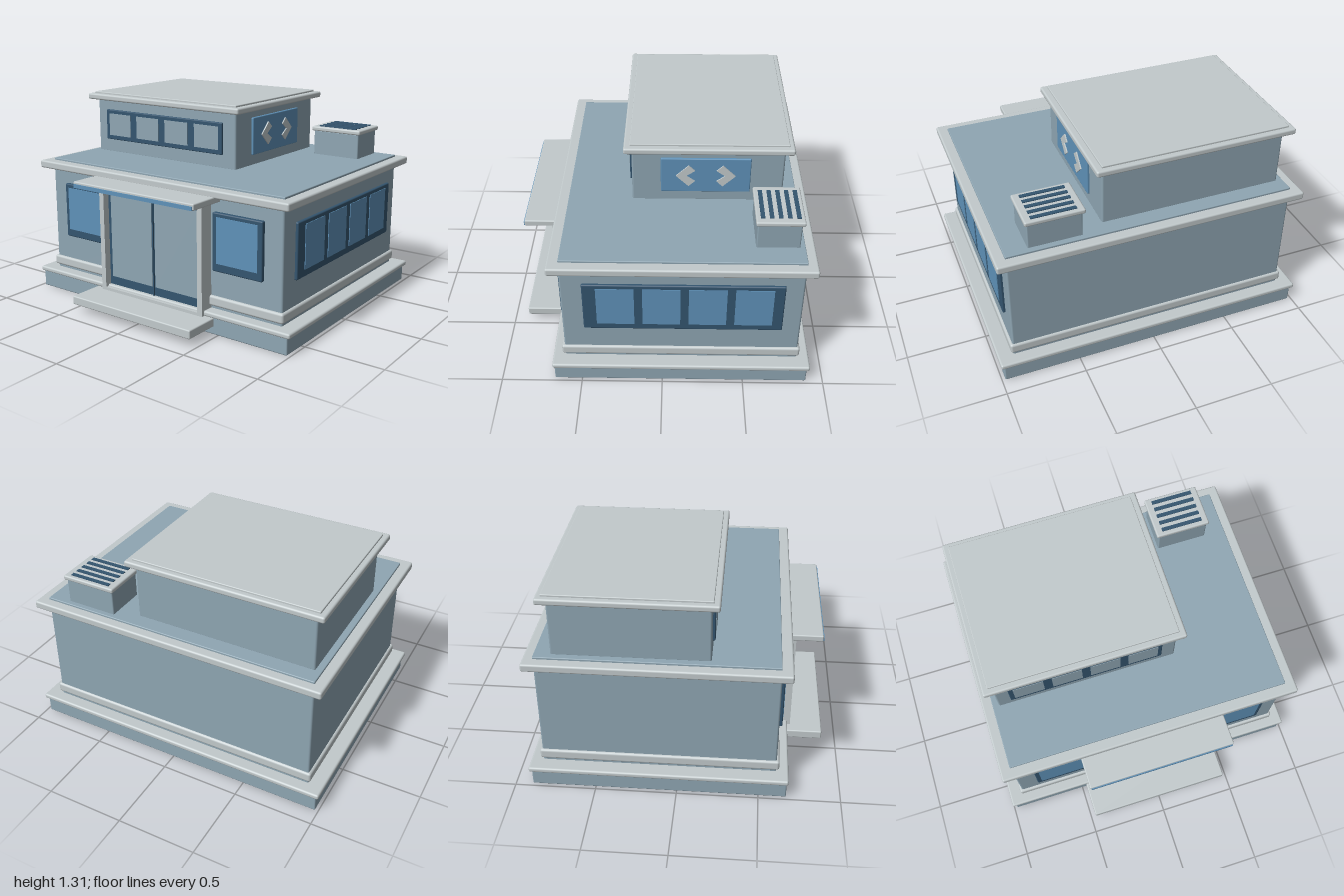
import * as THREE from 'three';
import { RoundedBoxGeometry } from 'three/addons/geometries/RoundedBoxGeometry.js';

const material = (name, color) => {
  const m = new THREE.MeshStandardMaterial({ color });
  m.name = name;
  return m;
};

export function createModel() {
  const model = new THREE.Group();
  model.name = 'smallBuilding';
  const wall = material('blueGreyWall', 0x8fa6b3);
  const trim = material('paleTrim', 0xc2cacc);
  const dark = material('darkFrame', 0x34556f);
  const blue = material('blueGlass', 0x5f92b9);

  // Box from its limits, with softened edges when a bevel is given
  function block(name, mat, [x0, x1], [y0, y1], [z0, z1], bevel = 0) {
    const w = x1 - x0, h = y1 - y0, d = z1 - z0;
    const geo = bevel ? new RoundedBoxGeometry(w, h, d, 2, bevel) : new THREE.BoxGeometry(w, h, d);
    const mesh = new THREE.Mesh(geo, mat);
    mesh.name = name;
    mesh.position.set((x0 + x1) / 2, (y0 + y1) / 2, (z0 + z1) / 2);
    model.add(mesh);
    return mesh;
  }
  const around = (c, size) => [c - size / 2, c + size / 2];

  // Plinth and ground floor
  block('plinth', wall, [-0.98, 0.98], [0, 0.11], [-0.895, 0.67], 0.008);
  block('plinthTrim', trim, [-1, 1], [0.105, 0.138], [-0.91, 0.68], 0.012);
  block('groundFloorWalls', wall, [-0.905, 0.905], [0.12, 0.86], [-0.835, 0.605], 0.012);
  block('skirting', trim, [-0.92, 0.92], [0.155, 0.22], [-0.848, 0.622], 0.015);
  block('mainRoofSlab', trim, [-0.97, 0.97], [0.837, 0.887], [-0.895, 0.668], 0.012);
  block('mainRoofPanel', wall, [-0.905, 0.905], [0.88, 0.9], [-0.835, 0.6], 0.005);

  // Upper floor
  block('upperFloorWalls', wall, [-0.865, 0.295], [0.89, 1.265], [-0.737, 0.198], 0.012);
  block('upperRoofSlab', trim, [-0.92, 0.342], [1.255, 1.295], [-0.788, 0.245], 0.012);
  block('upperRoofPanel', trim, [-0.885, 0.302], [1.285, 1.307], [-0.757, 0.208], 0.005);

  // Upper front window band
  block('upperWindowFrame', dark, [-0.78, 0.2], [0.985, 1.19], [0.19, 0.214], 0.006);
  for (let i = 0; i < 4; i++) {
    block('upperWindowPane', wall, around(-0.655 + i * 0.244, 0.19), [1.015, 1.165], [0.21, 0.217]);
  }

  // Pair of front windows
  for (const s of [-1, 1]) {
    block('frontWindowFrame', dark, around(s * 0.605, 0.35), [0.383, 0.745], [0.595, 0.63], 0.008);
    block('frontWindowPane', blue, around(s * 0.605, 0.29), [0.435, 0.72], [0.627, 0.634]);
  }

  // Side window band
  block('sideWindowFrame', dark, [0.895, 0.922], [0.38, 0.728], [-0.723, 0.475], 0.008);
  for (let i = 0; i < 4; i++) {
    block('sideWindowPane', blue, [0.918, 0.926], [0.425, 0.702], around(0.28 - i * 0.275, 0.226));
  }

  // Entrance surround and double door
  for (const s of [-1, 1]) {
    block('doorPost', trim, around(s * 0.3875, 0.035), [0.1, 0.81], [0.59, 0.7]);
    block('doorPane', wall, around(s * 0.179, 0.334), [0.195, 0.742], [0.652, 0.659]);
  }
  block('doorHeader', trim, [-0.37, 0.37], [0.766, 0.81], [0.59, 0.7]);
  block('doorSill', trim, [-0.37, 0.37], [0.1, 0.126], [0.59, 0.7]);
  block('doorFrame', dark, [-0.37, 0.37], [0.126, 0.766], [0.59, 0.654]);
  block('doorGap', dark, around(0, 0.008), [0.126, 0.766], [0.65, 0.664]);
  block('canopy', trim, [-0.47, 0.47], [0.807, 0.847], [0.59, 0.86], 0.008);
  block('canopyStripe', blue, [-0.462, 0.462], [0.808, 0.832], [0.857, 0.865]);
  block('entranceStep', trim, [-0.47, 0.47], [0.05, 0.106], [0.6, 0.905], 0.008);

  // Side sign with two outward chevrons
  block('signBoard', blue, [0.285, 0.309], [0.966, 1.208], [-0.532, 0.02], 0.006);
  const chevron = new THREE.Shape([
    [0.126, 0], [0.048, 0.075], [0.009, 0.038], [0.063, 0], [0.009, -0.038], [0.048, -0.075],
  ].map(([x, y]) => new THREE.Vector2(x + 0.057, y)));
  const chevronGeo = new THREE.ExtrudeGeometry(chevron, { depth: 0.009, bevelEnabled: false });
  for (const turn of [0, Math.PI]) {
    const mesh = new THREE.Mesh(chevronGeo, trim);
    mesh.name = 'signChevron';
    mesh.rotation.set(turn, Math.PI / 2, 0, 'YXZ');
    mesh.rotation.z = turn;
    mesh.rotation.x = 0;
    mesh.position.set(0.308, 1.088, -0.256);
    model.add(mesh);
  }

  // Rooftop ventilation unit
  block('ventBody', wall, [0.435, 0.765], [0.89, 1.065], [-0.803, -0.545], 0.008);
  block('ventCap', trim, [0.42, 0.778], [1.06, 1.09], [-0.82, -0.535], 0.01);
  for (let i = 0; i < 5; i++) {
    block('ventSlat', dark, [0.463, 0.735], [1.086, 1.095], around(-0.783 + i * 0.052, 0.025));
  }
  return model;
}
